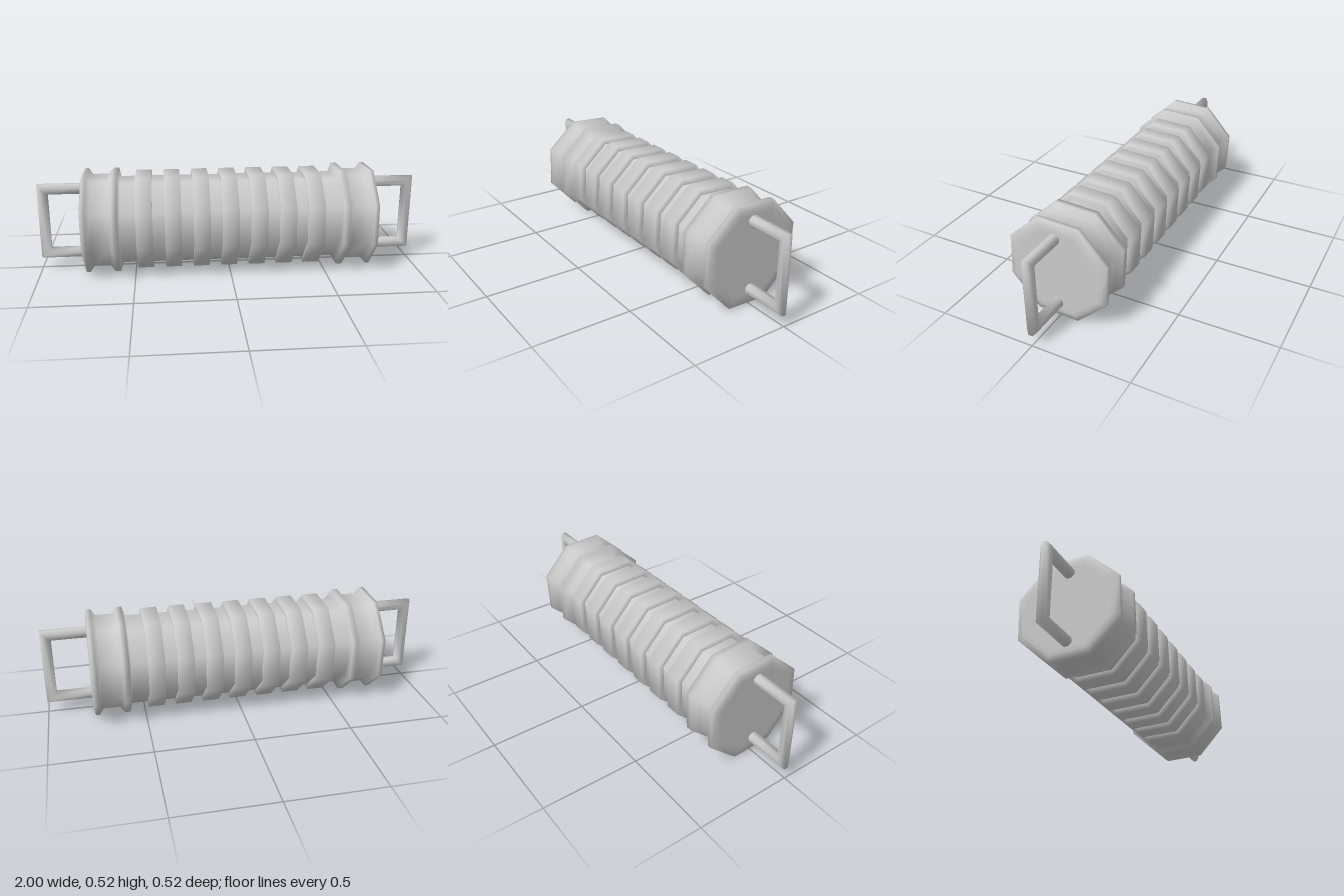
import * as THREE from 'three';

const AXIS_Y = 0.262;   // height of the roller's axis
const SIDES = 8;
const material = new THREE.MeshStandardMaterial({ color: 0xcccccc });

// Octagonal solid turned around the x axis; profile is [x, radius] from -x to +x
function turned(name, profile) {
  const points = profile.map(([x, r]) => new THREE.Vector2(r, x));
  const geometry = new THREE.LatheGeometry(points, SIDES, THREE.MathUtils.degToRad(20));
  geometry.rotateZ(-Math.PI / 2);
  const mesh = new THREE.Mesh(geometry, material);
  mesh.name = name;
  mesh.position.y = AXIS_Y;
  return mesh;
}

// Eight-sided bar bent into a square bracket with mitred corners
function bracketGeometry() {
  const reach = 0.9735, inner = 0.74, half = 0.176, radius = 0.0287;
  // path point and the in-plane offset direction of its cross-section
  const stations = [
    [inner, half, 0, 1],
    [reach, half, 1, 1],
    [reach, -half, 1, -1],
    [inner, -half, 0, -1],
  ];
  const positions = [], index = [];
  stations.forEach(([x, y, ox, oy], s) => {
    for (let i = 0; i < SIDES; i++) {
      const a = (i + 0.5) / SIDES * Math.PI * 2;
      const out = radius * Math.cos(a);
      positions.push(x + ox * out, y + oy * out, radius * Math.sin(a));
      if (s === 0) continue;
      const j = (i + 1) % SIDES, p = (s - 1) * SIDES, q = s * SIDES;
      index.push(p + i, p + j, q + i, p + j, q + j, q + i);
    }
  });
  const geometry = new THREE.BufferGeometry();
  geometry.setAttribute('position', new THREE.Float32BufferAttribute(positions, 3));
  geometry.setIndex(index);
  geometry.computeVertexNormals();
  return geometry;
}

export function createModel() {
  const group = new THREE.Group();
  group.name = 'ribbedRoller';

  // Core with a double-flanged collar at each end
  const collar = [
    [0.565, 0.231], [0.577, 0.278], [0.607, 0.278], [0.63, 0.246],
    [0.715, 0.246], [0.737, 0.278], [0.758, 0.278], [0.767, 0.245],
    [0.767, 0.22], [0.767, 0],
  ];
  const mirrored = collar.map(([x, r]) => [-x, r]).reverse();
  group.add(turned('core', [...mirrored, ...collar]));

  // Evenly spaced ribs
  const halfWidth = 0.042;
  for (let i = -3; i <= 3; i++) {
    const rib = turned('rib', [
      [-halfWidth, 0.22], [-halfWidth, 0.263], [halfWidth, 0.263], [halfWidth, 0.22],
    ]);
    rib.position.x = i * 0.1475 - 0.003;
    group.add(rib);
  }

  // Bracket handle on each end
  const bracket = bracketGeometry();
  for (const [name, turn] of [['leftHandle', 0], ['rightHandle', Math.PI]]) {
    const handle = new THREE.Mesh(bracket, material);
    handle.name = name;
    handle.position.set(0, AXIS_Y, 0.004);
    handle.rotation.y = turn;
    group.add(handle);
  }
  return group;
}
